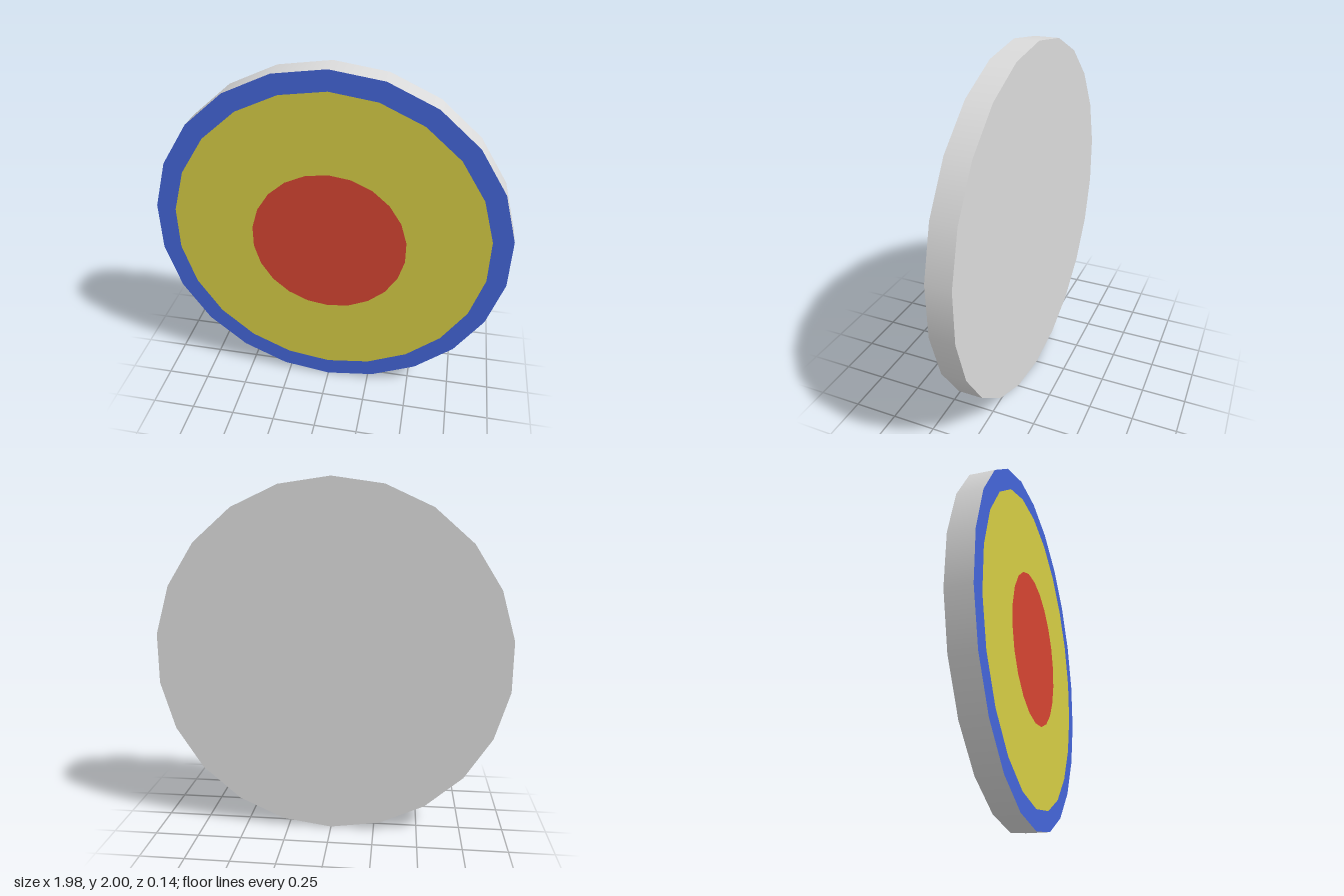
import * as THREE from 'three';

const SIDES = 22;
const HALF_DEPTH = 0.068;

const material = (name, color) => {
  const m = new THREE.MeshStandardMaterial({ color });
  m.name = name;
  return m;
};

export function createModel() {
  const grey = material('grey', 0xdadada);
  const blue = material('blue', 0x4466d9);
  const yellow = material('yellow', 0xd6cd45);
  const red = material('red', 0xd64532);

  const group = new THREE.Group();
  group.name = 'roundTarget';
  const add = (name, geometry, mat, z = 0) => {
    const mesh = new THREE.Mesh(geometry, mat);
    mesh.name = name;
    mesh.position.set(0, 1, z);
    group.add(mesh);
  };

  // Disc body: smooth rim and plain back
  add('rim', new THREE.CylinderGeometry(1, 1, 2 * HALF_DEPTH, SIDES, 1, true).rotateX(Math.PI / 2), grey);
  add('back', new THREE.CircleGeometry(1, SIDES, Math.PI / 2).rotateY(Math.PI), grey, -HALF_DEPTH);

  // Painted front: concentric bands lying in one plane
  const band = (inner, outer) => new THREE.RingGeometry(inner, outer, SIDES, 1, Math.PI / 2);
  add('outerBand', band(0.89, 1), blue, HALF_DEPTH);
  add('middleBand', band(0.437, 0.89), yellow, HALF_DEPTH);
  add('bullseye', new THREE.CircleGeometry(0.437, SIDES, Math.PI / 2), red, HALF_DEPTH);

  return group;
}
